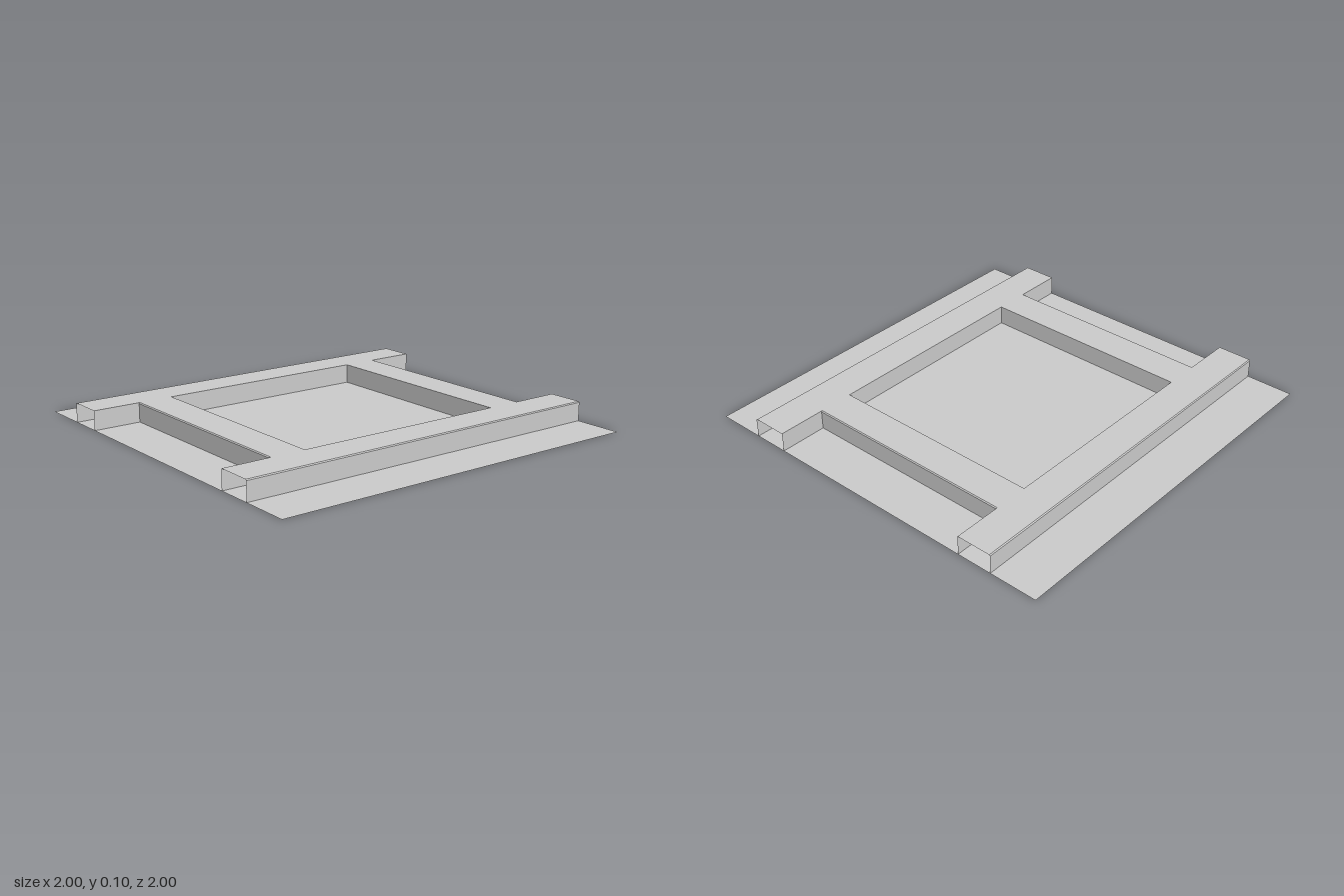
import * as THREE from 'three';

const INNER = 0.565, OUTER = 0.75, HEIGHT = 0.1, BEVEL = 0.005;

// Open channel section (inner wall, top, small bevel, outer wall) swept along z
function channel(length) {
  const profile = [
    [OUTER, 0], [OUTER, HEIGHT - BEVEL], [OUTER - BEVEL, HEIGHT],
    [INNER, HEIGHT], [INNER, 0],
  ];
  const h = length / 2, pos = [];
  for (let i = 0; i < profile.length - 1; i++) {
    const [ax, ay] = profile[i], [bx, by] = profile[i + 1];
    pos.push(ax, ay, h, ax, ay, -h, bx, by, -h);
    pos.push(ax, ay, h, bx, by, -h, bx, by, h);
  }
  const g = new THREE.BufferGeometry();
  g.setAttribute('position', new THREE.Float32BufferAttribute(pos, 3));
  g.computeVertexNormals();
  return g;
}

export function createModel() {
  const group = new THREE.Group();
  const material = new THREE.MeshStandardMaterial({
    color: 0xcccccc, flatShading: true, side: THREE.DoubleSide,
  });
  const add = (name, geometry) => {
    const mesh = new THREE.Mesh(geometry, material);
    mesh.name = name;
    group.add(mesh);
    return mesh;
  };

  // Thin square base with a long slot under each side rail
  const rect = (P, x0, x1, z0, z1) => new P([
    new THREE.Vector2(x0, z0), new THREE.Vector2(x1, z0),
    new THREE.Vector2(x1, z1), new THREE.Vector2(x0, z1),
  ]);
  const base = rect(THREE.Shape, -1, 1, -1, 1);
  base.holes.push(
    rect(THREE.Path, INNER, OUTER, -OUTER, OUTER),
    rect(THREE.Path, -OUTER, -INNER, -OUTER, OUTER),
  );
  add('basePlate', new THREE.ShapeGeometry(base).rotateX(-Math.PI / 2));

  // Hollow side rails, open at both ends, and closed crossbars between them
  const rail = channel(2), bar = channel(2 * INNER);
  add('leftRail', rail);
  add('rightRail', rail).rotation.y = Math.PI;
  add('frontCrossbar', bar).rotation.y = -Math.PI / 2;
  add('backCrossbar', bar).rotation.y = Math.PI / 2;

  // Partitions closing the slot pocket inside each rail
  const partition = new THREE.PlaneGeometry(OUTER - INNER, HEIGHT - BEVEL);
  for (const sx of [-1, 1]) for (const sz of [-1, 1]) {
    add('railPartition', partition).position.set(
      sx * (INNER + OUTER) / 2, (HEIGHT - BEVEL) / 2, sz * OUTER);
  }
  return group;
}
